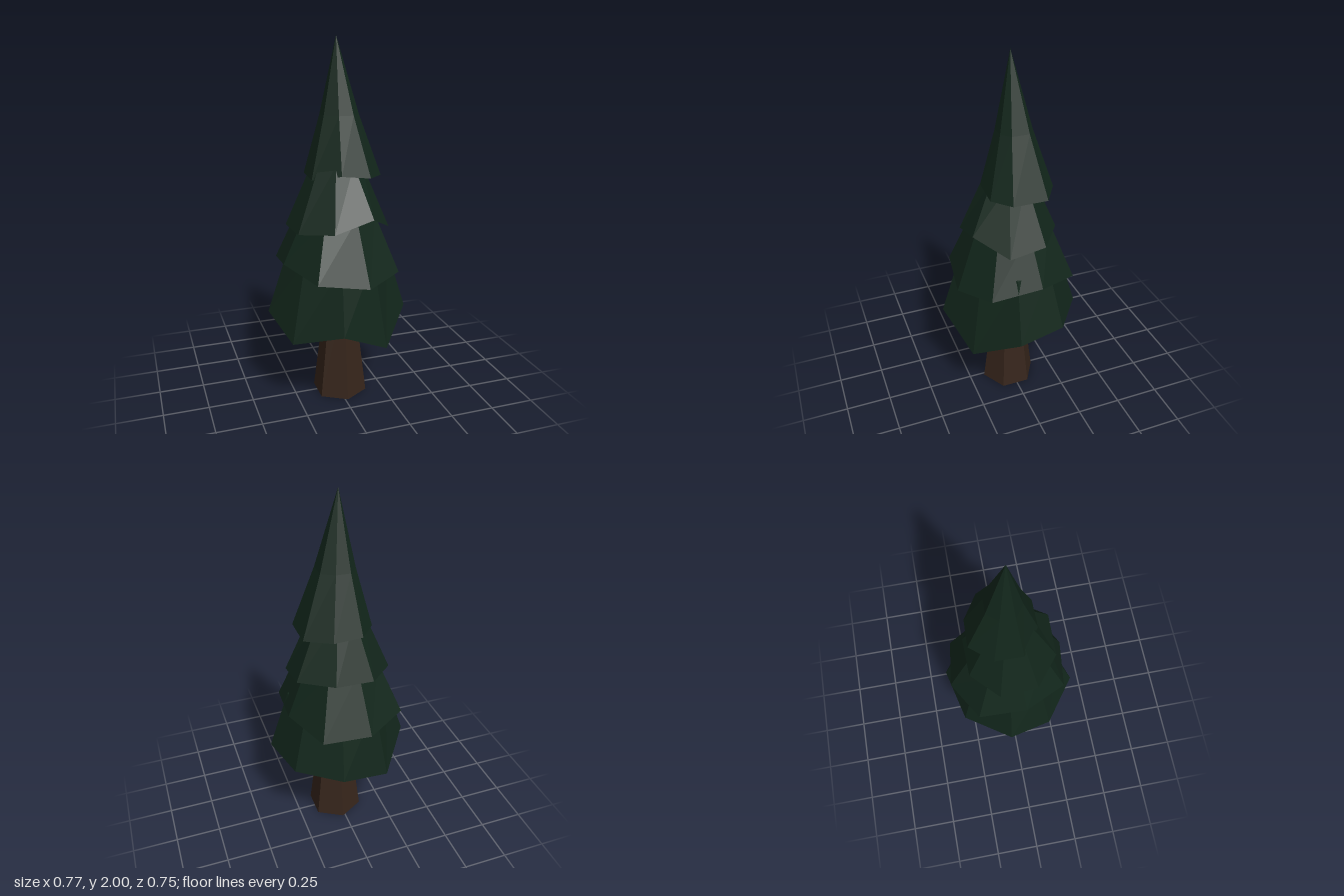
import * as THREE from 'three';

const leafMaterial = new THREE.MeshStandardMaterial({ color: 0x12261b, flatShading: true, side: THREE.DoubleSide });
const barkMaterial = new THREE.MeshStandardMaterial({ color: 0x36251b, flatShading: true });

// Open skirt: uneven rim -> narrower ring -> apex. ring = [scale, y].
function skirt(name, rim, ring, apex) {
  const pos = [];
  const upper = rim.map(([x, , z]) => [
    apex[0] + (x - apex[0]) * ring[0], ring[1], apex[2] + (z - apex[2]) * ring[0],
  ]);
  rim.forEach((low, i) => {
    const j = (i + 1) % rim.length;
    pos.push(...low, ...upper[i], ...rim[j]);
    pos.push(...rim[j], ...upper[i], ...upper[j]);
    pos.push(...upper[i], ...apex, ...upper[j]);
  });
  const geometry = new THREE.BufferGeometry();
  geometry.setAttribute('position', new THREE.Float32BufferAttribute(pos, 3));
  geometry.computeVertexNormals();
  const mesh = new THREE.Mesh(geometry, leafMaterial);
  mesh.name = name;
  return mesh;
}

export function createModel() {
  const tree = new THREE.Group();
  tree.name = 'pineTree';

  // Tapered six-sided trunk
  const trunk = new THREE.Mesh(new THREE.CylinderGeometry(0.08, 0.155, 0.6, 6), barkMaterial);
  trunk.position.set(0.015, 0.3, 0.01);
  trunk.name = 'trunk';
  tree.add(trunk);

  // Four overlapping tiers of branches, rims listed from +x towards +z
  tree.add(skirt('bottomBranches', [
    [0.385, 0.5, 0.07], [0.195, 0.355, 0.285], [-0.08, 0.5, 0.375], [-0.31, 0.415, 0.2],
    [-0.385, 0.515, -0.05], [-0.19, 0.415, -0.305], [0.095, 0.5, -0.375], [0.32, 0.5, -0.205],
  ], [0.72, 0.85], [0, 0.95, 0]));

  tree.add(skirt('lowerBranches', [
    [0.29, 0.76, 0.2], [0.08, 0.73, 0.325], [-0.195, 0.77, 0.29], [-0.315, 0.82, 0.05],
    [-0.295, 0.775, -0.22], [-0.07, 0.75, -0.35], [0.19, 0.74, -0.315], [0.31, 0.79, -0.08],
  ], [0.6, 1.08], [0, 1.18, 0]));

  tree.add(skirt('upperBranches', [
    [0.27, 0.99, 0.09], [0.125, 1.08, 0.245], [-0.09, 1.02, 0.25], [-0.25, 1.0, 0.12],
    [-0.265, 1.0, -0.09], [-0.12, 1.02, -0.235], [0.09, 1.03, -0.24], [0.265, 1.02, -0.11],
  ], [0.46, 1.35], [0, 1.45, 0]));

  tree.add(skirt('topBranches', [
    [0.23, 1.275, 0.06], [0.14, 1.28, 0.15], [-0.02, 1.3, 0.15], [-0.155, 1.27, 0.055],
    [-0.155, 1.28, -0.1], [-0.06, 1.29, -0.22], [0.095, 1.28, -0.215], [0.23, 1.275, -0.13],
  ], [0.5, 1.6], [0, 2, -0.01]));

  return tree;
}
